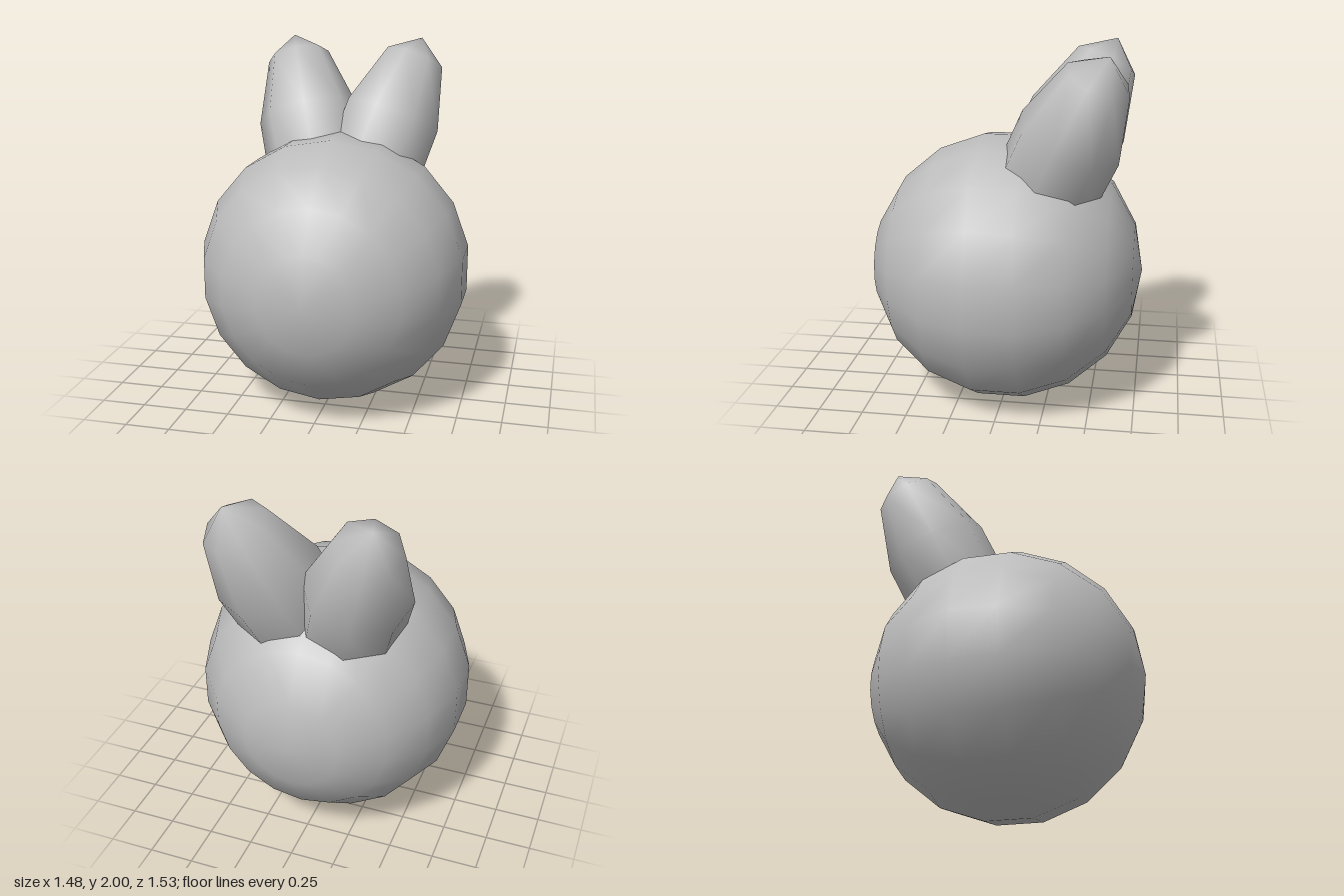
import * as THREE from 'three';

export function createModel() {
  const model = new THREE.Group();
  const grey = new THREE.MeshStandardMaterial({ color: 0xbcbcbc });
  grey.name = 'grey';
  const centreY = 0.755;

  // Round head, its poles facing front and back, with a vertex at the very top
  const headGeometry = new THREE.SphereGeometry(0.765, 18, 9)
    .rotateY(Math.PI / 2)
    .rotateX(Math.PI / 2);
  const head = new THREE.Mesh(headGeometry, grey);
  head.name = 'head';
  head.position.y = centreY;
  model.add(head);

  // Egg-shaped ears leaning back and outward from the head's centre
  const tilt = THREE.MathUtils.degToRad(29);
  const turn = THREE.MathUtils.degToRad(34);
  for (const side of [-1, 1]) {
    const earGeometry = new THREE.SphereGeometry(1, 8, 5)
      .rotateY(Math.PI / 8)
      .scale(0.308, 0.735, 0.308)
      .translate(0, 0.69, 0)
      .rotateX(-tilt)
      .rotateY(-side * turn);
    const ear = new THREE.Mesh(earGeometry, grey);
    ear.name = side > 0 ? 'leftEar' : 'rightEar';
    ear.position.y = centreY;
    model.add(ear);
  }

  return model;
}
